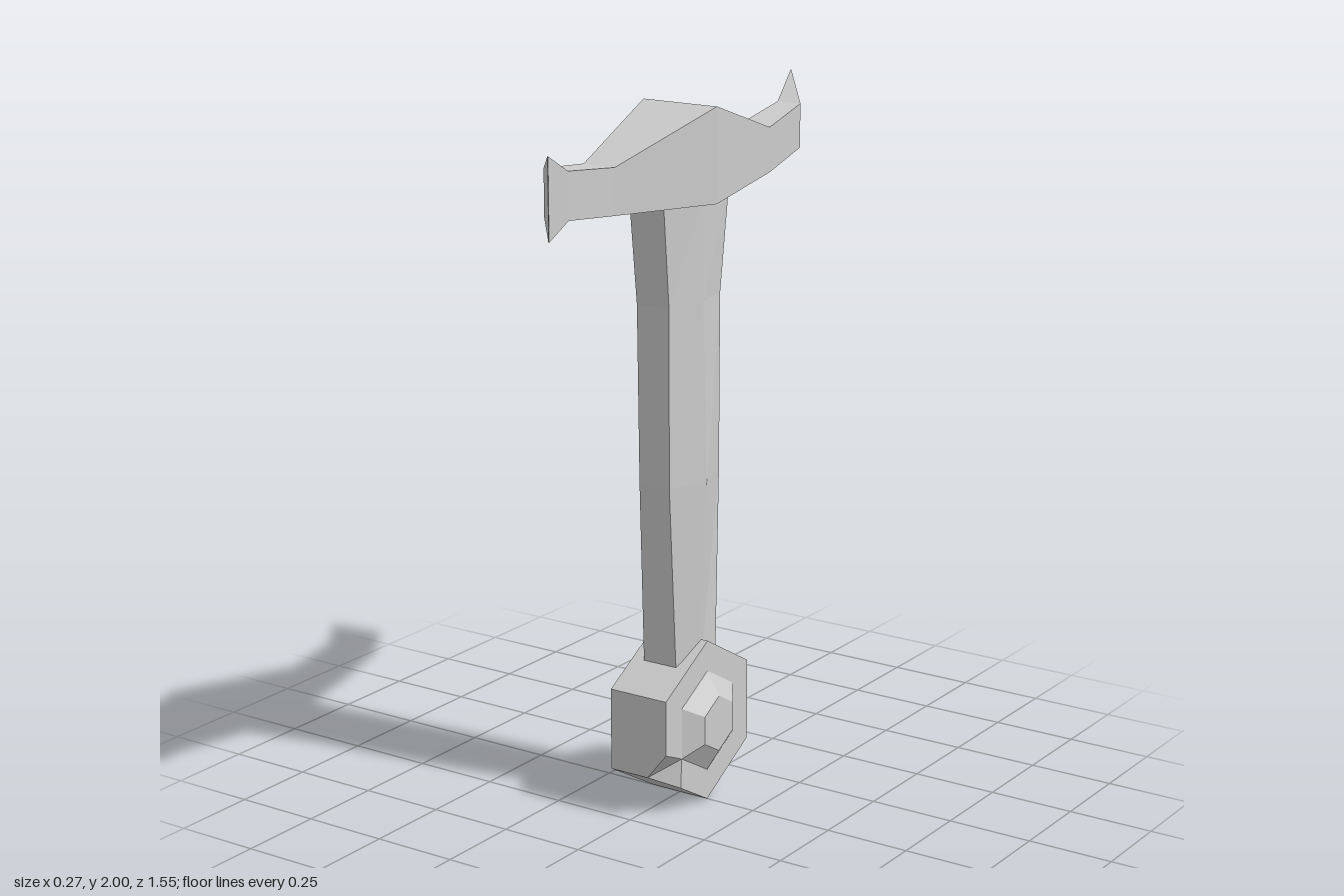
import * as THREE from 'three';

const material = new THREE.MeshStandardMaterial({ color: 0xcccccc, flatShading: true });

// Flat-shaded mesh from polygons; each polygon is fanned from its first corner
function polyMesh(name, polygons) {
  const pos = [];
  for (const p of polygons)
    for (let i = 1; i < p.length - 1; i++) pos.push(...p[0], ...p[i], ...p[i + 1]);
  const geo = new THREE.BufferGeometry();
  geo.setAttribute('position', new THREE.Float32BufferAttribute(pos, 3));
  geo.computeVertexNormals();
  const mesh = new THREE.Mesh(geo, material);
  mesh.name = name;
  return mesh;
}

// Polygons joining successive rings, with both ends closed
function loft(rings) {
  const polys = [[...rings[0]].reverse(), rings[rings.length - 1]];
  for (let i = 0; i < rings.length - 1; i++) {
    const a = rings[i], b = rings[i + 1], n = a.length;
    for (let j = 0; j < n; j++) {
      const k = (j + 1) % n;
      polys.push([a[j], a[k], b[k], b[j]]);
    }
  }
  return polys;
}

// Crossguard: rectangular sections along z, the two arms curving opposite ways
function crossguard() {
  const arm = [ // z, left x, right x, bottom y, top y
    [0, -0.12, 0.12, 1.735, 2.0],
    [0.375, -0.05, 0.05, 1.757, 1.885],
    [0.617, 0, 0.077, 1.787, 1.915],
    [0.777, 0.132, 0.134, 1.765, 1.982],
  ];
  const back = arm.slice(1).reverse().map(([z, l, r, b, t]) => [-z, -r, -l, b, t]);
  const rings = [...back, ...arm].map(([z, l, r, b, t]) =>
    [[l, b, z], [r, b, z], [r, t, z], [l, t, z]]);
  return polyMesh('crossguard', loft(rings));
}

// Grip: six-sided sections along y, with a slightly skewed back face
function grip() {
  const rings = [ // y, half flat width, half full width, front z, back z on either side
    [0.36, 0.055, 0.068, 0.098, -0.098, -0.098],
    [0.95, 0.05, 0.09, 0.126, -0.122, -0.126],
    [1.46, 0.053, 0.077, 0.131, -0.12, -0.13],
    [1.76, 0.056, 0.08, 0.161, -0.158, -0.16],
  ].map(([y, f, w, zf, zr, zl]) =>
    [[f, y, zf], [w, y, 0], [f, y, zr], [-f, y, zl], [-w, y, 0], [-f, y, zf]]);
  return polyMesh('grip', loft(rings));
}

// Pommel: hexagonal block across x with a chip out of one front corner
function pommel() {
  const group = new THREE.Group();
  group.name = 'pommel';
  const w = 0.094, r = 0.24, cy = 0.24;
  const corner = (x, i) => { // 0 bottom, 1 lower front, 2 upper front, 3 top, ...
    const a = i * Math.PI / 3;
    return [x, cy - r * Math.cos(a), r * Math.sin(a)];
  };
  const R = [], L = [];
  for (let i = 0; i < 6; i++) { R.push(corner(w, i)); L.push(corner(-w, i)); }
  const chipTop = [w, 0.2, R[1][2]];
  const chipIn = [w, 0.165, 0.13];
  const chipLow = [w, 0.078, 0.135];
  const chipEdge = [0.03, 0.12, R[1][2]];
  const polys = [
    [chipIn, chipTop, R[2], R[3], R[4], R[5], R[0], chipLow],
    [...L].reverse(),
    [L[1], chipEdge, chipTop, R[2], L[2]],
    [L[0], R[0], chipLow, chipEdge, L[1]],
    [chipIn, chipEdge, chipTop],
    [chipIn, chipLow, chipEdge],
  ];
  // Outward winding for the right and left caps
  polys[0] = [polys[0][0], ...polys[0].slice(1).reverse()];
  polys[1].reverse();
  for (let i = 2; i < 6; i++) {
    const k = (i + 1) % 6;
    polys.push([L[i], R[i], R[k], L[k]]);
  }
  // Outward-facing check: turn any convex side that points at the centre
  const centre = new THREE.Vector3(0, cy, 0);
  for (const p of polys) {
    const [a, b, c] = p.slice(0, 3).map(v => new THREE.Vector3(...v));
    const n = b.clone().sub(a).cross(c.sub(a));
    if (n.dot(a.sub(centre)) < 0) p.reverse().unshift(p.pop());
  }
  group.add(polyMesh('pommelBlock', polys));

  // Raised bevelled boss on each side
  for (const s of [1, -1]) {
    const geo = new THREE.CylinderGeometry(0.083, 0.15, 0.04, 6, 1, false, Math.PI / 6);
    geo.rotateZ(-s * Math.PI / 2);
    const boss = new THREE.Mesh(geo, material);
    boss.name = s > 0 ? 'leftBoss' : 'rightBoss';
    boss.position.set(s * (w + 0.02), cy, 0);
    group.add(boss);
  }
  return group;
}

export function createModel() {
  const model = new THREE.Group();
  model.name = 'swordHilt';
  model.add(crossguard(), grip(), pommel());
  return model;
}
